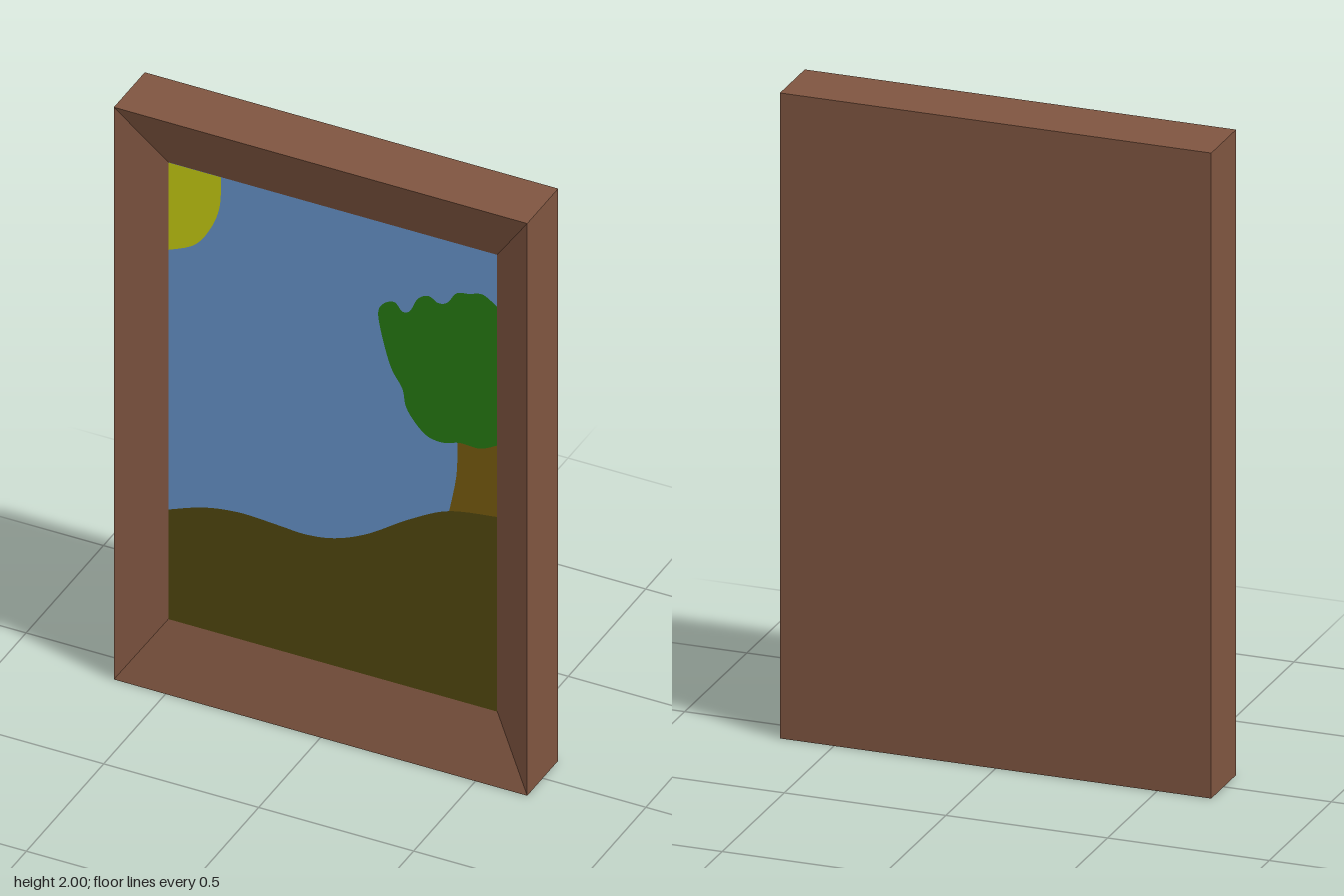
import * as THREE from 'three';

const mat = (name, color) => new THREE.MeshStandardMaterial({ name, color });

// Inner picture opening
const IN = { x: 0.53, y0: 0.205, y1: 1.8, z: 0.02 };

// Rectangular loop of four corners, counter-clockwise seen from the front
const loop = (x, y0, y1, z) => [[-x, y0, z], [x, y0, z], [x, y1, z], [-x, y1, z]];

// Frame shell: flat back, straight outer sides and a bevel sloping in to the picture
function frameGeometry() {
  const rings = [
    loop(0.667, 0, 2, -0.1),
    loop(0.667, 0, 2, 0.1),
    loop(IN.x, IN.y0, IN.y1, IN.z),
  ];
  const pos = [];
  const quad = (a, b, c, d) => pos.push(...a, ...b, ...c, ...a, ...c, ...d);
  for (let r = 0; r < 2; r++) {
    for (let i = 0; i < 4; i++) {
      const j = (i + 1) % 4;
      quad(rings[r][i], rings[r][j], rings[r + 1][j], rings[r + 1][i]);
    }
  }
  quad(...[...rings[0]].reverse());
  const g = new THREE.BufferGeometry();
  g.setAttribute('position', new THREE.Float32BufferAttribute(pos, 3));
  g.computeVertexNormals();
  return g;
}

// Flat painted area: a smooth curve through points, closed by straight corners
function paint(name, material, layer, curve, corners = []) {
  const v = curve.map(([x, y]) => new THREE.Vector2(x, y));
  const shape = new THREE.Shape().moveTo(v[0].x, v[0].y);
  shape.splineThru(v.slice(1));
  corners.forEach(([x, y]) => shape.lineTo(x, y));
  const mesh = new THREE.Mesh(new THREE.ShapeGeometry(shape, 6), material);
  mesh.name = name;
  mesh.position.z = IN.z + layer * 0.001;
  return mesh;
}

export function createModel() {
  const model = new THREE.Group();
  model.name = 'framedPicture';

  const frame = new THREE.Mesh(frameGeometry(), mat('frame brown', 0x7f5540));
  frame.name = 'frame';
  model.add(frame);

  // Sky fills the whole opening
  const sky = new THREE.Mesh(
    new THREE.PlaneGeometry(IN.x * 2, IN.y1 - IN.y0), mat('sky blue', 0x6895cc));
  sky.name = 'sky';
  sky.position.set(0, (IN.y0 + IN.y1) / 2, IN.z);
  model.add(sky);

  // Sun in the upper corner
  model.add(paint('sun', mat('sun yellow', 0xc9ce12), 1,
    [[-0.53, 1.495], [-0.45, 1.535], [-0.4, 1.6], [-0.366, 1.69], [-0.36, 1.8]],
    [[-0.53, 1.8]]));

  // Tree trunk
  model.add(paint('trunk', mat('trunk brown', 0x795d10), 1,
    [[0.4, 1.15], [0.402, 1.08], [0.398, 0.98], [0.372, 0.84]],
    [[0.53, 0.84], [0.53, 1.15]]));

  // Rolling hill in the foreground
  model.add(paint('hill', mat('hill olive', 0x52480f), 2,
    [[0.53, 0.885], [0.375, 0.858], [0.247, 0.79], [0.115, 0.7], [0.01, 0.652],
      [-0.085, 0.636], [-0.175, 0.641], [-0.3, 0.647], [-0.415, 0.63], [-0.53, 0.588]],
    [[-0.53, IN.y0], [0.53, IN.y0]]));

  // Leafy crown with a lumpy top, cut off by the frame
  model.add(paint('foliage', mat('leaf green', 0x277a12), 2,
    [[0.53, 1.62], [0.485, 1.648], [0.44, 1.637], [0.4, 1.627], [0.37, 1.585],
      [0.34, 1.575], [0.31, 1.59], [0.275, 1.57], [0.25, 1.52], [0.225, 1.51],
      [0.2, 1.535], [0.165, 1.52], [0.147, 1.48], [0.163, 1.39], [0.19, 1.3],
      [0.225, 1.24], [0.237, 1.18], [0.27, 1.13], [0.31, 1.097], [0.36, 1.092],
      [0.41, 1.107], [0.475, 1.107], [0.53, 1.134]]));

  return model;
}
